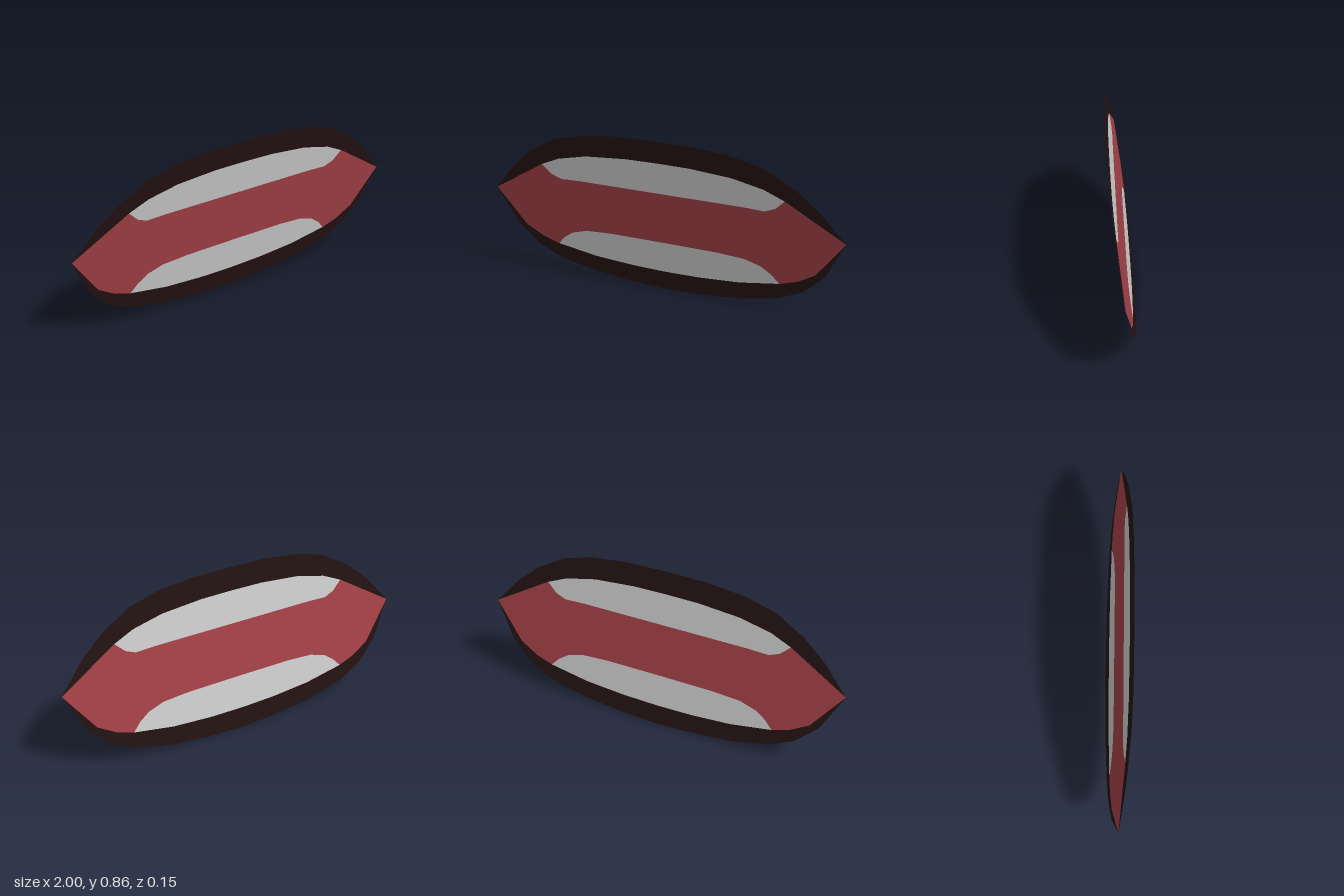
import * as THREE from 'three';

const TILT = 0.172, MID_Y = 0.432;
const TIP = [1, 0.455];

// Half-profiles, running from the centre line outwards (+x side)
const outerTop = [[0, 0.863], [0.22, 0.86], [0.42, 0.84], [0.59, 0.797], [0.75, 0.706], [0.87, 0.604], TIP];
const outerBottom = [[0, 0], [0.18, 0.007], [0.43, 0.03], [0.636, 0.075], [0.775, 0.14], [0.89, 0.25], TIP];
const innerTop = [[0, 0.742], [0.18, 0.74], [0.41, 0.722], [0.58, 0.685], [0.69, 0.638]];
const innerBottom = [[0, 0.107], [0.2, 0.111], [0.42, 0.126], [0.647, 0.163]];
const innerBottomEnd = [[0.74, 0.193], [0.84, 0.25], TIP];
const bandTop = [[0, 0.57], [0.47, 0.57], [0.58, 0.566], [0.636, 0.588], [0.69, 0.638]];
const bandBottom = [[0, 0.283], [0.31, 0.282], [0.46, 0.273], [0.55, 0.246], [0.604, 0.209], [0.647, 0.163]];

// Mirrors a half-profile into a full line from -x to +x
const mirror = (half) => [...half.slice(1).reverse().map(([x, y]) => [-x, y]), ...half];

// Flat sheet between two full-width lines, leaning forward at the top
function sheet(name, upper, lower, color) {
  const outline = [...mirror(lower), ...mirror(upper).reverse()]
    .filter(([x, y], i, a) => {
      const [px, py] = a[(i + a.length - 1) % a.length];
      return x !== px || y !== py;
    });
  const geometry = new THREE.ShapeGeometry(new THREE.Shape(outline.map(([x, y]) => new THREE.Vector2(x, y))));
  const p = geometry.attributes.position;
  for (let i = 0; i < p.count; i++) p.setZ(i, (p.getY(i) - MID_Y) * TILT);
  geometry.computeVertexNormals();
  const mesh = new THREE.Mesh(geometry, new THREE.MeshStandardMaterial({ color, side: THREE.DoubleSide }));
  mesh.name = name;
  return mesh;
}

export function createModel() {
  const group = new THREE.Group();
  group.name = 'pointedPanel';
  const dark = 0x231212, red = 0xa34047, grey = 0xcccccc;

  // Dark borders, pinched to the side tips
  group.add(sheet('upperBorder', outerTop, [...innerTop, TIP], dark));
  group.add(sheet('lowerBorder', [...innerBottom, ...innerBottomEnd], outerBottom, dark));

  // Pale inlays above and below the middle band
  group.add(sheet('upperInlay', innerTop, bandTop, grey));
  group.add(sheet('lowerInlay', bandBottom, innerBottom, grey));

  // Red middle band, flaring around the inlays
  group.add(sheet('middleBand', [...bandTop, TIP], [...bandBottom, ...innerBottomEnd], red));
  return group;
}
